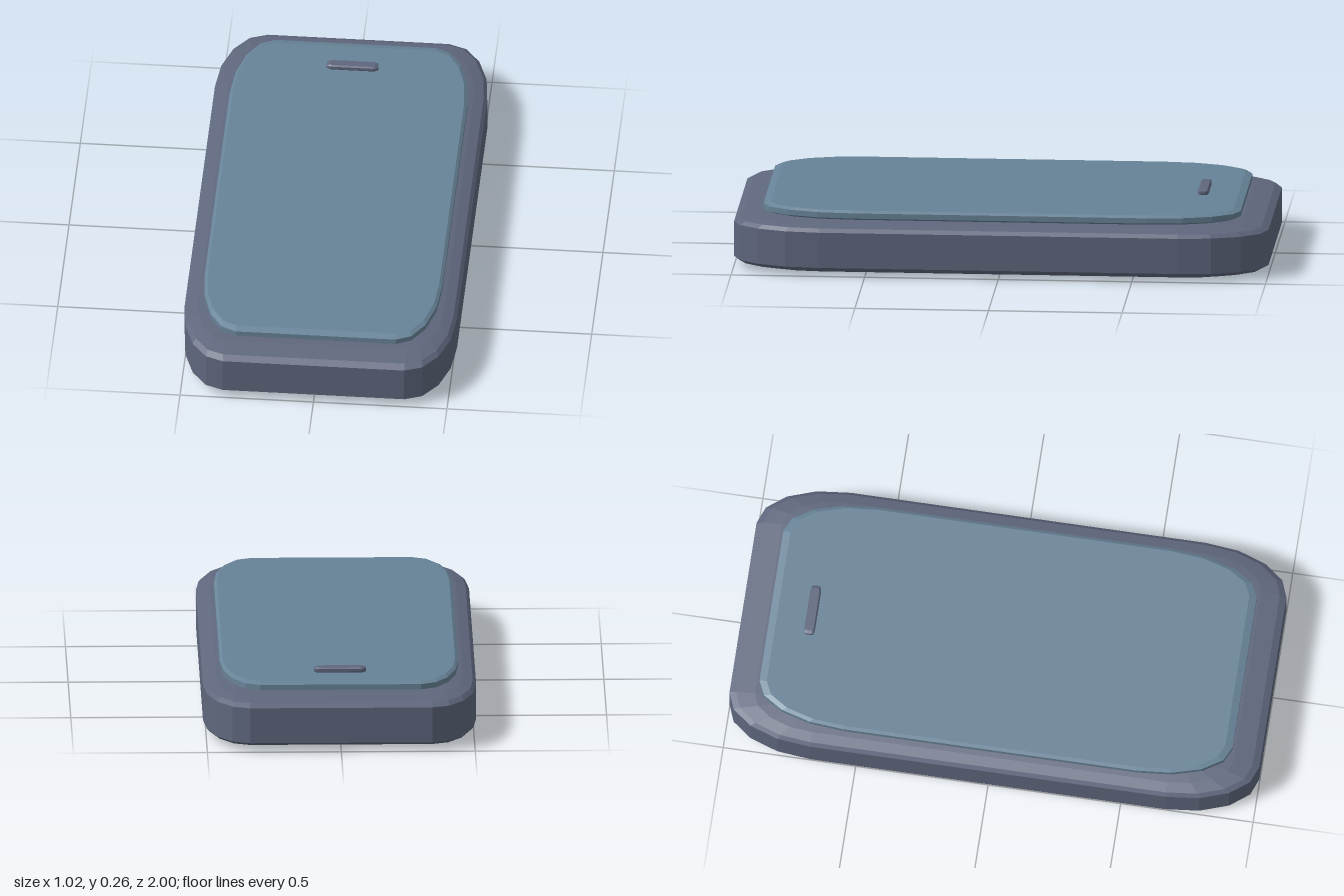
import * as THREE from 'three';

const STEPS = 4; // facets per rounded corner

// Closed slab lofted through rounded-rectangle rings.
// half: [x, z] half sizes, corner: [x, z] corner radii,
// profile: [k, y] from bottom to top, k scaling the corner radii.
function slab(name, material, half, corner, profile) {
  const rings = profile.map(([k, y]) => {
    const ring = [];
    for (let q = 0; q < 4; q++) {
      const sx = q === 0 || q === 3 ? 1 : -1;
      const sz = q < 2 ? 1 : -1;
      for (let s = 0; s <= STEPS; s++) {
        const a = (q + s / STEPS) * Math.PI / 2;
        ring.push([
          sx * (half[0] - corner[0]) + corner[0] * k * Math.cos(a), y,
          sz * (half[1] - corner[1]) + corner[1] * k * Math.sin(a),
        ]);
      }
    }
    return ring;
  });

  const positions = [];
  const tri = (a, b, c) => {
    const [u, v, w] = [a, b, c].map((p) => new THREE.Vector3(...p));
    if (v.sub(u).cross(w.sub(u)).length() > 1e-9) positions.push(...a, ...b, ...c);
  };
  const n = rings[0].length;
  const last = rings.length - 1;
  for (let i = 0; i < n; i++) {
    const j = (i + 1) % n;
    // side bands
    for (let r = 0; r < last; r++) {
      const lo = rings[r], hi = rings[r + 1];
      tri(lo[i], hi[i], lo[j]);
      tri(lo[j], hi[i], hi[j]);
    }
    // flat bottom and top
    tri([0, profile[0][1], 0], rings[0][i], rings[0][j]);
    tri([0, profile[last][1], 0], rings[last][j], rings[last][i]);
  }

  const geometry = new THREE.BufferGeometry();
  geometry.setAttribute('position', new THREE.Float32BufferAttribute(positions, 3));
  geometry.computeVertexNormals();
  const mesh = new THREE.Mesh(geometry, material);
  mesh.name = name;
  return mesh;
}

export function createModel() {
  const group = new THREE.Group();
  group.name = 'phone';
  const caseMaterial = new THREE.MeshStandardMaterial({ color: 0x5f677d, flatShading: true });
  const glassMaterial = new THREE.MeshStandardMaterial({ color: 0x678397, flatShading: true });

  // body: elliptical edge rounding below and above a straight wall
  const bevel = 0.035, wallLow = 0.035, wallHigh = 0.17;
  const lower = [], upper = [];
  for (let s = 0; s <= STEPS; s++) {
    const a = (s / STEPS) * Math.PI / 2;
    lower.unshift([Math.cos(a), wallLow - bevel * Math.sin(a)]);
    upper.push([Math.cos(a), wallHigh + bevel * Math.sin(a)]);
  }
  group.add(slab('body', caseMaterial, [0.51, 1], [0.17, 0.33], [...lower, ...upper]));

  // screen: thin plate with a slightly eased rim
  group.add(slab('screen', glassMaterial, [0.445, 0.893], [0.145, 0.34],
    [[0.92, 0.204], [1, 0.211], [1, 0.231], [0.92, 0.239]]));

  // earpiece: small raised bar near the back end
  const earpiece = slab('earpiece', caseMaterial, [0.097, 0.02], [0.025, 0.01],
    [[0.5, 0.237], [1, 0.243], [1, 0.254], [0.5, 0.259]]);
  earpiece.position.z = -0.737;
  group.add(earpiece);

  return group;
}
